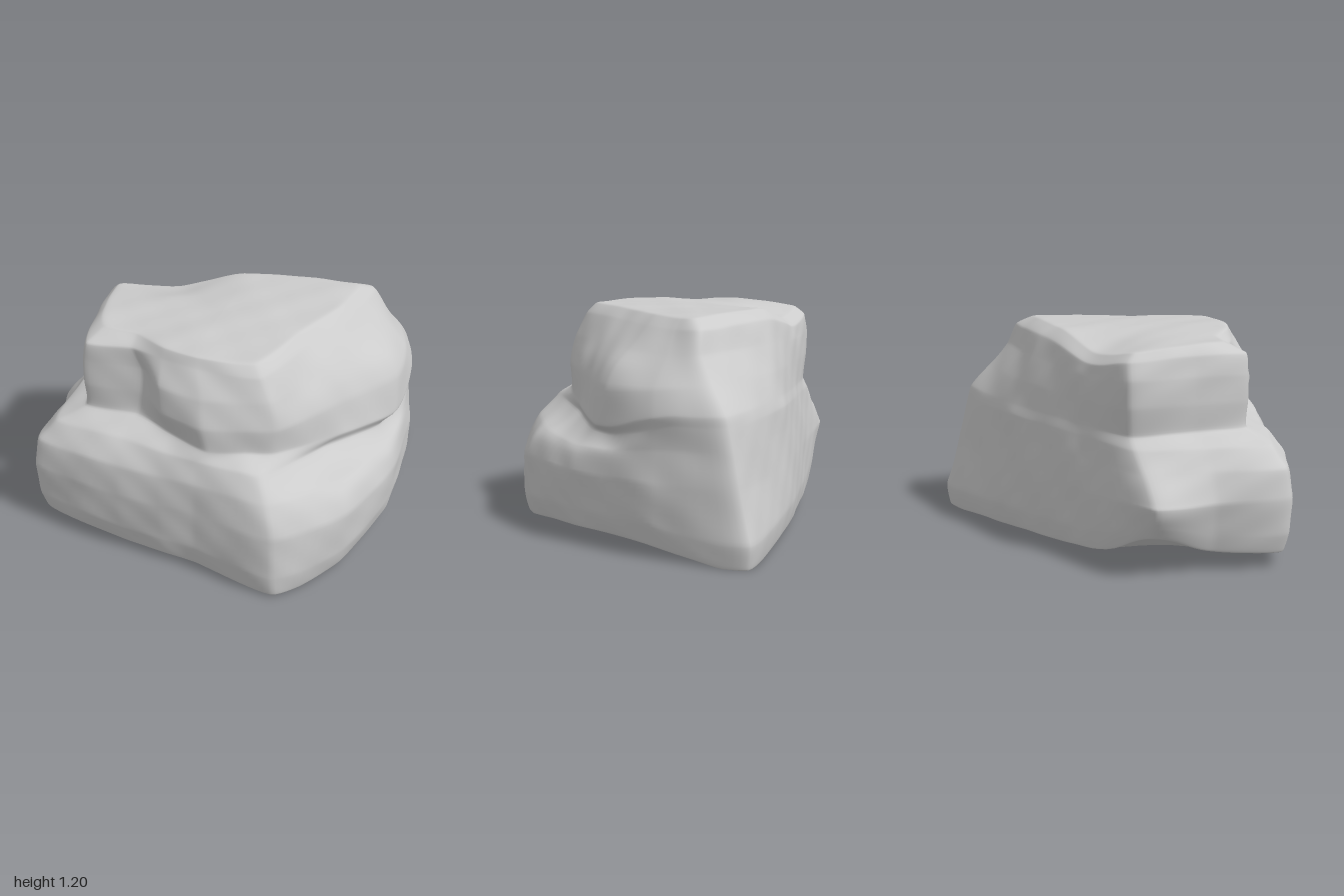
import * as THREE from 'three';

const STEPS = 12; // samples between neighbouring outline points
const smooth = THREE.MathUtils.smoothstep;
const bell = (a, b) => Math.exp(-a * a - b * b);

// Smooth bumps over the whole surface
function bump(x, y, z) {
  return 0.007 * Math.sin(5.1 * x + 3.3 * z + 2 * y) * Math.sin(4.7 * y - 3.9 * z + 1)
    + 0.006 * Math.sin(11 * x - 7 * y + 1.7) * Math.sin(9 * z + 6 * y)
    + 0.003 * Math.sin(23 * x + 13 * y) * Math.sin(19 * z - 17 * y + 2);
}

// Uneven heights: how far each layer rises or sinks at a point
function heightShift(x, y, z) {
  // underside lifts to the left, under the left tip and in the middle of the right side
  const low = Math.max(0, 1 - y / 0.4);
  const arch = 0.09 * smooth(x, 0.3, 1) * Math.max(0, 1 - 1.5 * z * z);
  const lift = Math.max(0, 0.05 * (0.85 - x)) + arch + 0.13 * bell((x + 0.95) / 0.24, z / 0.3);
  // ledge dips to the left and under the overhang on the right
  const ledge = smooth(y, 0.45, 0.68) * (1 - smooth(y, 0.76, 0.95));
  const dip = 0.04 * Math.max(0, -x) + 0.17 * Math.max(0, x - 0.35) * smooth(z, -0.6, -0.1);
  // top sinks to the left and at the back left
  const sink = 0.03 * Math.max(0, -x) + 0.07 * bell((x + 0.42) / 0.3, (z + 0.2) / 0.25);
  return low * lift - ledge * dip - smooth(y, 0.9, 1.18) * sink;
}

// Closed rock lofted through horizontal outlines [y, x, z, x, z, ...], bottom to top
function loft(rings) {
  const outlines = rings.map(([y, ...p]) => {
    const pts = [];
    for (let i = 0; i < p.length; i += 2) pts.push(new THREE.Vector3(p[i], y, p[i + 1]));
    return pts;
  });
  // Close both ends by shrinking the outline to its middle
  const shrink = (pts, s, dy) => {
    const c = pts.reduce((a, p) => a.add(p), new THREE.Vector3()).divideScalar(pts.length);
    return pts.map(p => new THREE.Vector3().lerpVectors(c, p, s).setY(p.y + dy));
  };
  const first = outlines[0], last = outlines[outlines.length - 1];
  const all = [
    shrink(first, 0, 0), shrink(first, 0.5, 0), shrink(first, 0.95, 0), ...outlines,
    shrink(last, 0.93, 0.008), shrink(last, 0.5, 0.012), shrink(last, 0, 0.012),
  ];
  const n = first.length * STEPS, m = (all.length - 1) * 8;
  const around = all.map(pts => {
    const curve = new THREE.CatmullRomCurve3(pts, true, 'catmullrom', 0.26);
    return Array.from({ length: n }, (_, i) => curve.getPoint(i / n));
  });
  const pos = [], index = [];
  for (let i = 0; i < n; i++) {
    const column = new THREE.CatmullRomCurve3(around.map(r => r[i]), false, 'catmullrom', 0.25);
    for (let j = 0; j <= m; j++) {
      const p = column.getPoint(j / m);
      const d = bump(p.x, p.y, p.z), r = Math.hypot(p.x, p.z) + 0.15;
      const y = p.y + heightShift(p.x, p.y, p.z) + d * 0.7;
      pos.push(p.x * (1 + d / r), Math.max(0, y), p.z * (1 + d / r));
      const a = i * (m + 1) + j, b = ((i + 1) % n) * (m + 1) + j;
      if (j < m) index.push(a, b, b + 1, a, b + 1, a + 1);
    }
  }
  const g = new THREE.BufferGeometry();
  g.setAttribute('position', new THREE.Float32BufferAttribute(pos, 3));
  g.setIndex(index);
  g.computeVertexNormals();
  return g;
}

// Outlines run from the left tip along the front, right side and back.
// Wide lower block with its sloping ledge
const lowerRings = [
  [0, -.92, .01, -.84, .35, -.83, .72, -.35, .82, -.1, .84, .1, .85, .56, .93, .82, .59, .96, .1, .92, -.45, .77, -.93, .1, -.63, -.45, -.31],
  [.13, -.96, .01, -.87, .35, -.86, .74, -.35, .85, -.1, .865, .1, .87, .56, .95, .85, .61, .985, .1, .94, -.45, .78, -.95, .1, -.65, -.46, -.32],
  [.38, -1, 0, -.92, .35, -.87, .75, -.35, .86, -.1, .87, .1, .87, .55, .94, .85, .61, .99, .1, .94, -.45, .77, -.87, .1, -.63, -.46, -.31],
  [.56, -.88, -.03, -.87, .33, -.86, .73, -.35, .83, -.1, .85, .1, .86, .5, .88, .78, .52, .94, .1, .92, -.43, .77, -.83, .1, -.61, -.44, -.3],
  [.68, -.79, -.06, -.8, .33, -.77, .67, -.35, .73, -.1, .79, .1, .82, .44, .8, .66, .4, .87, .04, .92, -.44, .77, -.8, .1, -.6, -.42, -.295],
];
// Narrower upper block, overhanging the right side
const upperRings = [
  [.74, -.73, -.07, -.69, .28, -.63, .57, -.32, .58, -.1, .69, .15, .79, .46, .67, .74, .29, .94, -.05, .93, -.45, .77, -.78, .1, -.58, -.41, -.29],
  [.87, -.75, -.08, -.7, .28, -.63, .58, -.3, .56, -.13, .72, .12, .79, .48, .66, .72, .25, .92, -.1, .9, -.42, .74, -.67, .1, -.54, -.4, -.29],
  [1.01, -.75, -.08, -.7, .28, -.63, .58, -.3, .55, -.15, .69, .1, .74, .44, .64, .6, .25, .76, -.1, .78, -.4, .7, -.56, .1, -.48, -.4, -.28],
  [1.13, -.73, -.08, -.68, .28, -.61, .57, -.36, .55, -.16, .61, .05, .65, .38, .62, .51, .22, .64, -.12, .68, -.35, .65, -.51, .1, -.43, -.38, -.27],
  [1.18, -.69, -.05, -.64, .26, -.56, .47, -.36, .49, -.16, .58, .04, .62, .34, .58, .46, .2, .58, -.12, .62, -.33, .59, -.43, .1, -.36, -.36, -.22],
];

export function createModel() {
  const group = new THREE.Group();
  const rock = new THREE.Mesh(
    loft([...lowerRings, ...upperRings]),
    new THREE.MeshStandardMaterial({ color: 0xcccccc }),
  );
  rock.name = 'rock';
  group.add(rock);
  return group;
}
